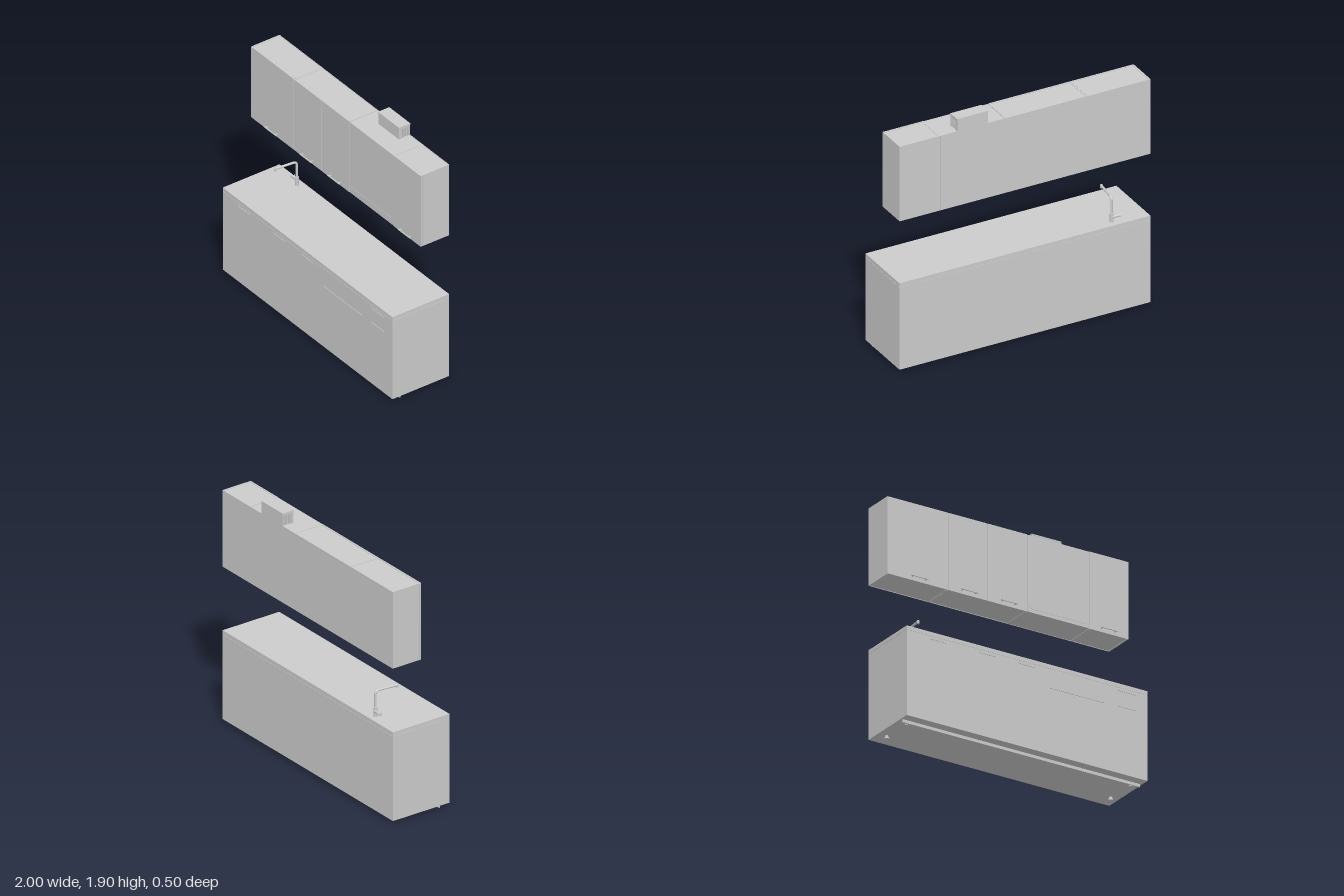
import * as THREE from 'three';

const grey = new THREE.MeshStandardMaterial({ color: 0xcccccc });

export function createModel() {
  const kitchen = new THREE.Group();
  kitchen.name = 'kitchen';

  const add = (name, geometry, parent = kitchen) => {
    const mesh = new THREE.Mesh(geometry, grey);
    mesh.name = name;
    parent.add(mesh);
    return mesh;
  };
  // Box given by its minimum and maximum on each axis
  const box = (name, x0, x1, y0, y1, z0, z1, parent) => {
    const mesh = add(name, new THREE.BoxGeometry(x1 - x0, y1 - y0, z1 - z0), parent);
    mesh.position.set((x0 + x1) / 2, (y0 + y1) / 2, (z0 + z1) / 2);
    return mesh;
  };
  const cylinder = (name, r, height, x, y, z, parent) => {
    const mesh = add(name, new THREE.CylinderGeometry(r, r, height, 24), parent);
    mesh.position.set(x, y, z);
    return mesh;
  };

  // Base cabinets with worktop
  box('baseCabinet', -1, 1, 0.025, 0.682, -0.245, 0.245);
  box('worktop', -1, 1, 0.684, 0.715, -0.245, 0.245);
  box('worktopGap', -0.997, 0.997, 0.68, 0.69, -0.243, 0.243);

  // Slim pulls on the base fronts: x range and height
  const basePulls = [
    [-0.815, -0.675, 0.66], [-0.4, -0.26, 0.66], [-0.07, 0.07, 0.66],
    [0.755, 0.9, 0.66], [0.755, 0.9, 0.54], [0.19, 0.64, 0.535],
  ];
  for (const [x0, x1, y] of basePulls) {
    box('basePull', x0, x1, y - 0.003, y + 0.003, 0.244, 0.249);
  }

  // Plinth strip and feet
  box('plinth', -0.985, 0.985, 0.002, 0.025, 0.163, 0.173);
  for (const x of [-0.93, 0.93]) {
    for (const z of [0.145, -0.12]) {
      cylinder('footPad', 0.018, 0.01, x, 0.005, z);
      cylinder('footStem', 0.012, 0.016, x, 0.018, z);
    }
  }

  // Wall cabinets: open tray tops between side panels
  const wallCabinet = (x0, x1) => {
    const cabinet = new THREE.Group();
    cabinet.name = 'wallCabinet';
    box('cabinetBody', x0 + 0.012, x1 - 0.012, 1.213, 1.802, -0.243, -0.014, cabinet);
    box('sidePanel', x0, x0 + 0.012, 1.21, 1.805, -0.244, -0.014, cabinet);
    box('sidePanel', x1 - 0.012, x1, 1.21, 1.805, -0.244, -0.014, cabinet);
    kitchen.add(cabinet);
  };
  wallCabinet(-1, -0.498);
  wallCabinet(-0.496, 0.16);
  wallCabinet(0.677, 1);
  box('backPanel', -1, 0.675, 1.21, 1.805, -0.246, -0.242);
  box('backPanel', 0.677, 1, 1.21, 1.805, -0.246, -0.242);

  // Doors
  for (const [x0, x1] of [[-1, -0.499], [-0.495, -0.169], [-0.165, 0.159], [0.677, 1]]) {
    box('wallDoor', x0, x1, 1.21, 1.804, -0.012, 0);
  }

  // Bow handles on the wall doors
  for (const x of [-0.745, -0.33, 0, 0.83]) {
    const handle = new THREE.Group();
    handle.name = 'wallHandle';
    box('grip', x - 0.07, x + 0.07, 1.235, 1.241, 0.018, 0.025, handle);
    for (const s of [-1, 1]) {
      box('post', x + s * 0.055 - 0.004, x + s * 0.055 + 0.004, 1.235, 1.241, 0, 0.02, handle);
    }
    kitchen.add(handle);
  }

  // Built-in extractor with its control strip
  box('extractorBody', 0.162, 0.675, 1.212, 1.802, -0.243, -0.001);
  box('controlStrip', 0.18, 0.66, 1.24, 1.267, -0.002, 0.001);

  // Exhaust duct, slatted at both ends
  const duct = new THREE.Group();
  duct.name = 'exhaustDuct';
  kitchen.add(duct);
  box('ductFront', 0.295, 0.54, 1.8, 1.895, -0.165, -0.15, duct);
  box('ductBack', 0.295, 0.54, 1.8, 1.895, -0.246, -0.238, duct);
  box('ductTop', 0.295, 0.54, 1.88, 1.895, -0.24, -0.16, duct);
  box('ductLid', 0.293, 0.542, 1.894, 1.902, -0.246, -0.148, duct);
  box('ductCore', 0.31, 0.525, 1.8, 1.882, -0.24, -0.163, duct);
  for (const x of [0.297, 0.526]) {
    for (let i = 0; i < 5; i++) {
      const z = -0.233 + i * 0.0145;
      box('slat', x, x + 0.012, 1.802, 1.881, z, z + 0.006, duct);
    }
  }

  // Mixer tap: body, bent spout, nozzle and side lever
  const tap = new THREE.Group();
  tap.name = 'tap';
  kitchen.add(tap);
  cylinder('tapBody', 0.0135, 0.07, -0.72, 0.75, -0.19, tap);
  const spout = new THREE.CurvePath();
  const p = (x, y, z) => new THREE.Vector3(x, y, z);
  spout.add(new THREE.LineCurve3(p(-0.72, 0.78, -0.19), p(-0.72, 0.88, -0.19)));
  spout.add(new THREE.QuadraticBezierCurve3(p(-0.72, 0.88, -0.19), p(-0.72, 0.912, -0.19), p(-0.723, 0.912, -0.158)));
  spout.add(new THREE.LineCurve3(p(-0.723, 0.912, -0.158), p(-0.738, 0.912, -0.006)));
  add('spout', new THREE.TubeGeometry(spout, 48, 0.009, 14), tap);
  cylinder('nozzle', 0.0095, 0.024, -0.737, 0.907, -0.015, tap);
  const lever = cylinder('lever', 0.011, 0.07, -0.755, 0.755, -0.195, tap);
  lever.rotation.z = Math.PI / 2;
  const knob = cylinder('leverKnob', 0.005, 0.03, -0.78, 0.755, -0.2, tap);
  knob.rotation.x = Math.PI / 2;

  return kitchen;
}
